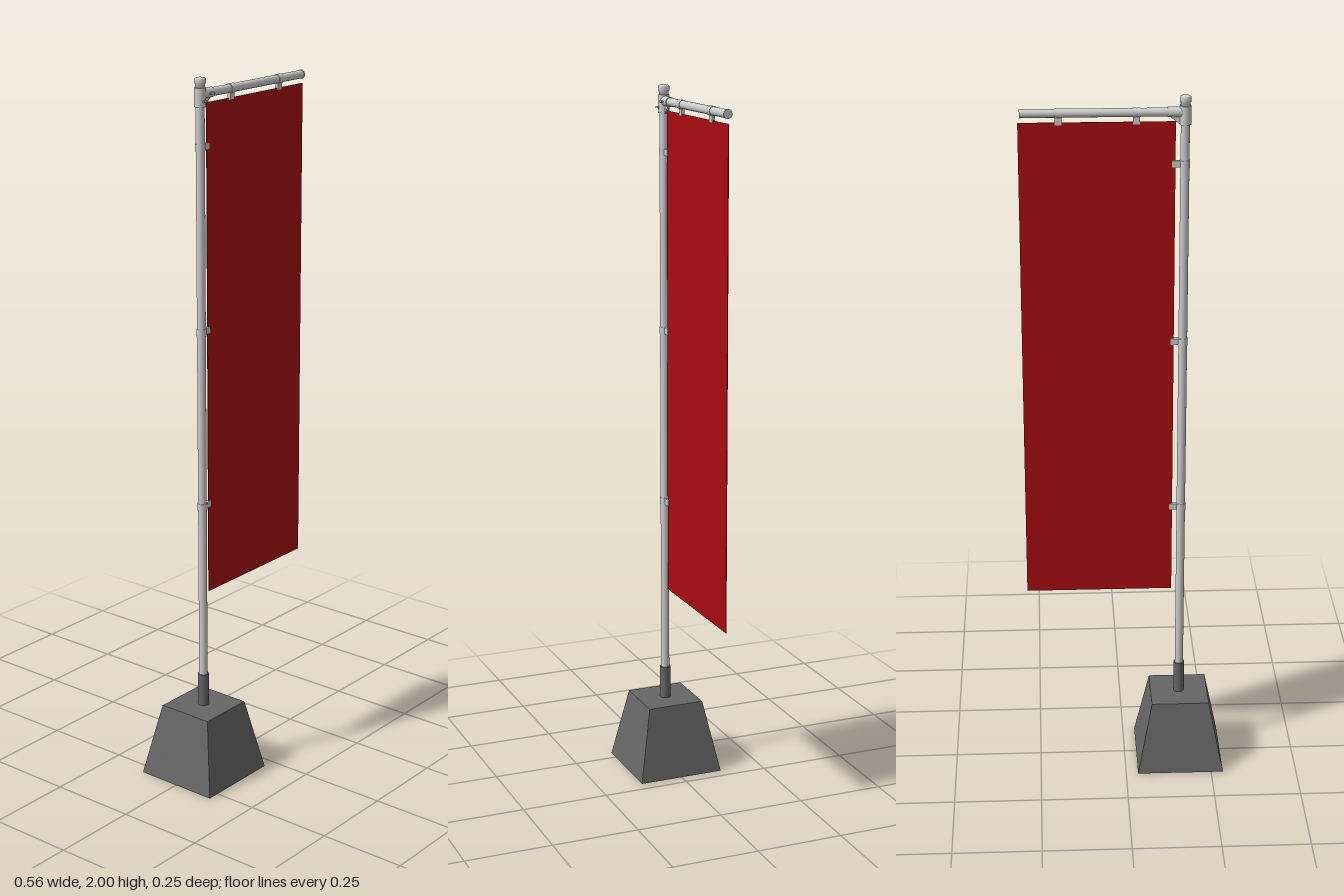
import * as THREE from 'three';

const POLE_X = -0.16;
const ARM_Y = 1.955;

export function createModel() {
  const model = new THREE.Group();
  const metal = new THREE.MeshStandardMaterial({ color: 0xcccccc });
  const concrete = new THREE.MeshStandardMaterial({ color: 0x666666, flatShading: true });
  const darkMetal = new THREE.MeshStandardMaterial({ color: 0x666666 });
  const cloth = new THREE.MeshStandardMaterial({ color: 0xa80c10, side: THREE.DoubleSide });

  const add = (name, geometry, material, x, y, z = 0, parent = model) => {
    const mesh = new THREE.Mesh(geometry, material);
    mesh.name = name;
    mesh.position.set(x, y, z);
    parent.add(mesh);
    return mesh;
  };
  const rod = (radius, length, sides = 24) => new THREE.CylinderGeometry(radius, radius, length, sides);
  const rodX = (radius, length, sides) => rod(radius, length, sides).rotateZ(Math.PI / 2);
  const rodZ = (radius, length, sides) => rod(radius, length, sides).rotateX(Math.PI / 2);

  // Square tapered foot
  const foot = new THREE.CylinderGeometry(0.083 * Math.SQRT2, 0.125 * Math.SQRT2, 0.21, 4).rotateY(Math.PI / 4);
  add('base', foot, concrete, POLE_X, 0.105);

  // Socket and mast
  add('socket', rod(0.0155, 0.1), darkMetal, POLE_X, 0.255);
  add('pole', rod(0.012, 1.69), metal, POLE_X, 1.125);

  // Domed cap: profile from the underside to the crown
  const capProfile = [[0, 0], [0.013, 0], [0.013, 0.014], [0.0155, 0.014], [0.0155, 0.026], [0.012, 0.029], [0, 0.031]]
    .map(([r, y]) => new THREE.Vector2(r, y));
  add('poleCap', new THREE.LatheGeometry(capProfile, 24), metal, POLE_X, 1.969);

  // Bracket holding the arm
  add('bracketCollar', rod(0.0155, 0.05), metal, POLE_X, 1.947);
  add('bracketSleeve', rodX(0.0135, 0.04), metal, POLE_X + 0.027, ARM_Y);
  const gusset = new THREE.Shape([[0.01, 0], [0.045, 0], [0.01, -0.028]].map(([x, y]) => new THREE.Vector2(x, y)));
  const gussetGeometry = new THREE.ExtrudeGeometry(gusset, { depth: 0.006, bevelEnabled: false });
  add('bracketGusset', gussetGeometry, metal, POLE_X, ARM_Y - 0.008, -0.003);

  // Wing screws on the front of the bracket
  for (const [x, y] of [[POLE_X, 1.938], [POLE_X + 0.027, ARM_Y]]) {
    const screw = new THREE.Group();
    screw.name = 'wingScrew';
    screw.position.set(x, y, 0.014);
    model.add(screw);
    add('screwStem', rodZ(0.003, 0.008, 12), metal, 0, 0, 0, screw);
    for (const side of [-1, 1]) {
      const wing = add('screwWing', new THREE.BoxGeometry(0.008, 0.005, 0.003), metal, side * 0.005, 0, 0.004, screw);
      wing.rotation.y = -side * 0.4;
    }
  }

  // Horizontal arm with an end plug
  add('arm', rodX(0.0115, 0.433), metal, POLE_X + 0.2165, ARM_Y);
  add('armEndPlug', rodX(0.0125, 0.003), metal, 0.2735, ARM_Y);

  // Banner
  add('banner', new THREE.BoxGeometry(0.415, 1.38, 0.002), cloth, 0.0725, 1.24);

  // Rings with tabs joining the banner to the pole
  for (const y of [0.812, 1.313, 1.815]) {
    add('poleRing', rod(0.0135, 0.02), metal, POLE_X, y);
    add('poleRingTab', new THREE.BoxGeometry(0.024, 0.018, 0.009), metal, POLE_X + 0.022, y);
  }

  // Rings with tabs joining the banner to the arm
  for (const x of [-0.032, 0.173]) {
    add('armRing', rodX(0.0127, 0.02), metal, x, ARM_Y);
    add('armRingTab', new THREE.BoxGeometry(0.018, 0.022, 0.009), metal, x, ARM_Y - 0.02);
  }

  return model;
}
